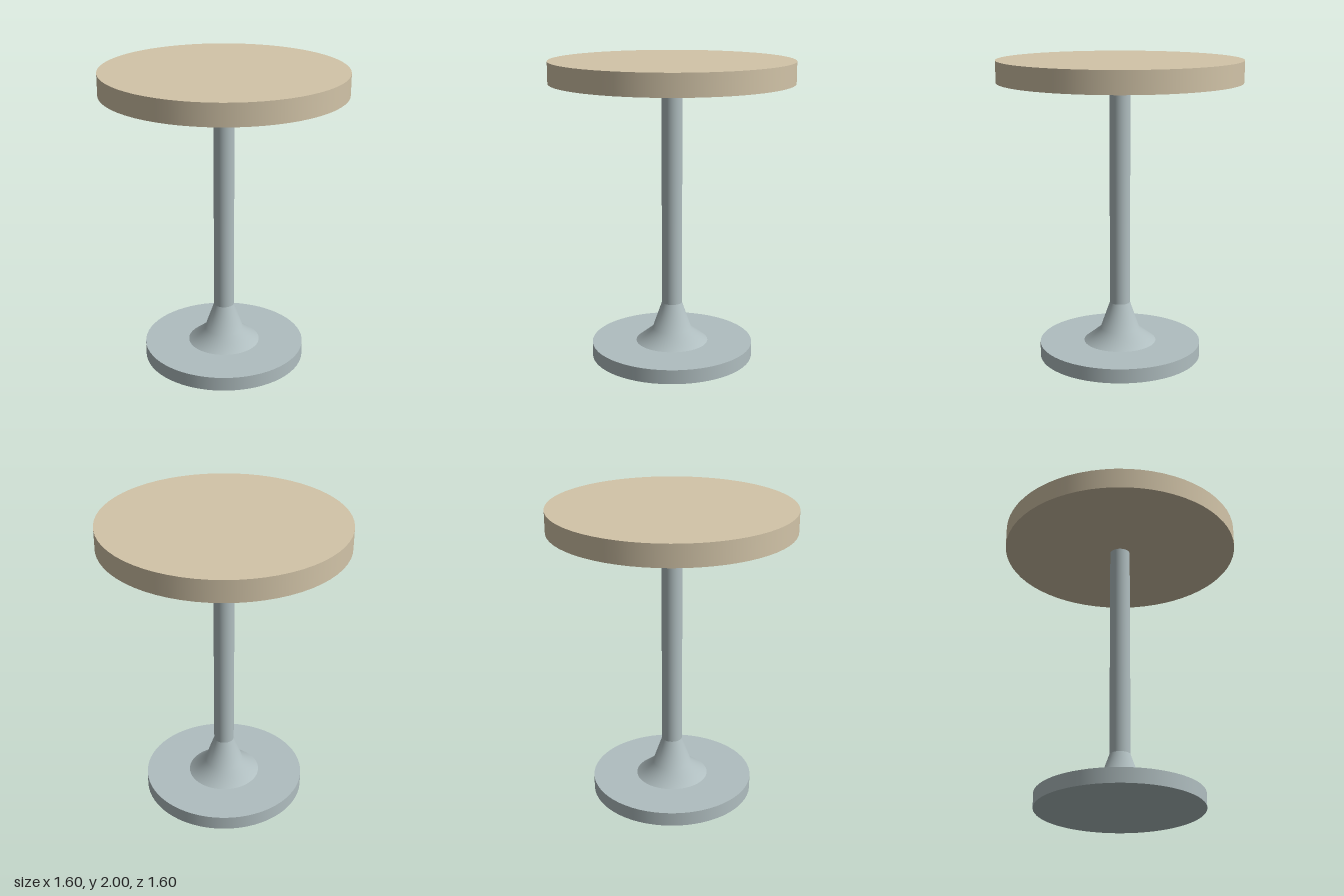
import * as THREE from 'three';

const SEGMENTS = 64;

export function createModel() {
  const model = new THREE.Group();
  model.name = 'pedestalTable';

  const wood = new THREE.MeshStandardMaterial({ color: 0xd2c4a8 });
  const metal = new THREE.MeshStandardMaterial({ color: 0xb0bec0 });

  const add = (name, geometry, material, y = 0) => {
    const mesh = new THREE.Mesh(geometry, material);
    mesh.name = name;
    mesh.position.y = y;
    model.add(mesh);
  };

  // Upright disc or post between two heights
  const addRound = (name, radius, bottom, top, material) =>
    add(name, new THREE.CylinderGeometry(radius, radius, top - bottom, SEGMENTS), material, (bottom + top) / 2);

  addRound('base', 0.543, 0, 0.095, metal);
  addRound('column', 0.068, 0.365, 1.858, metal);
  addRound('tableTop', 0.798, 1.858, 2, wood);

  // Flared collar joining the base to the column
  const collar = [[0.243, 0.095], [0.132, 0.183], [0.068, 0.365]].map(([r, y]) => new THREE.Vector2(r, y));
  add('collar', new THREE.LatheGeometry(collar, SEGMENTS), metal);

  return model;
}
